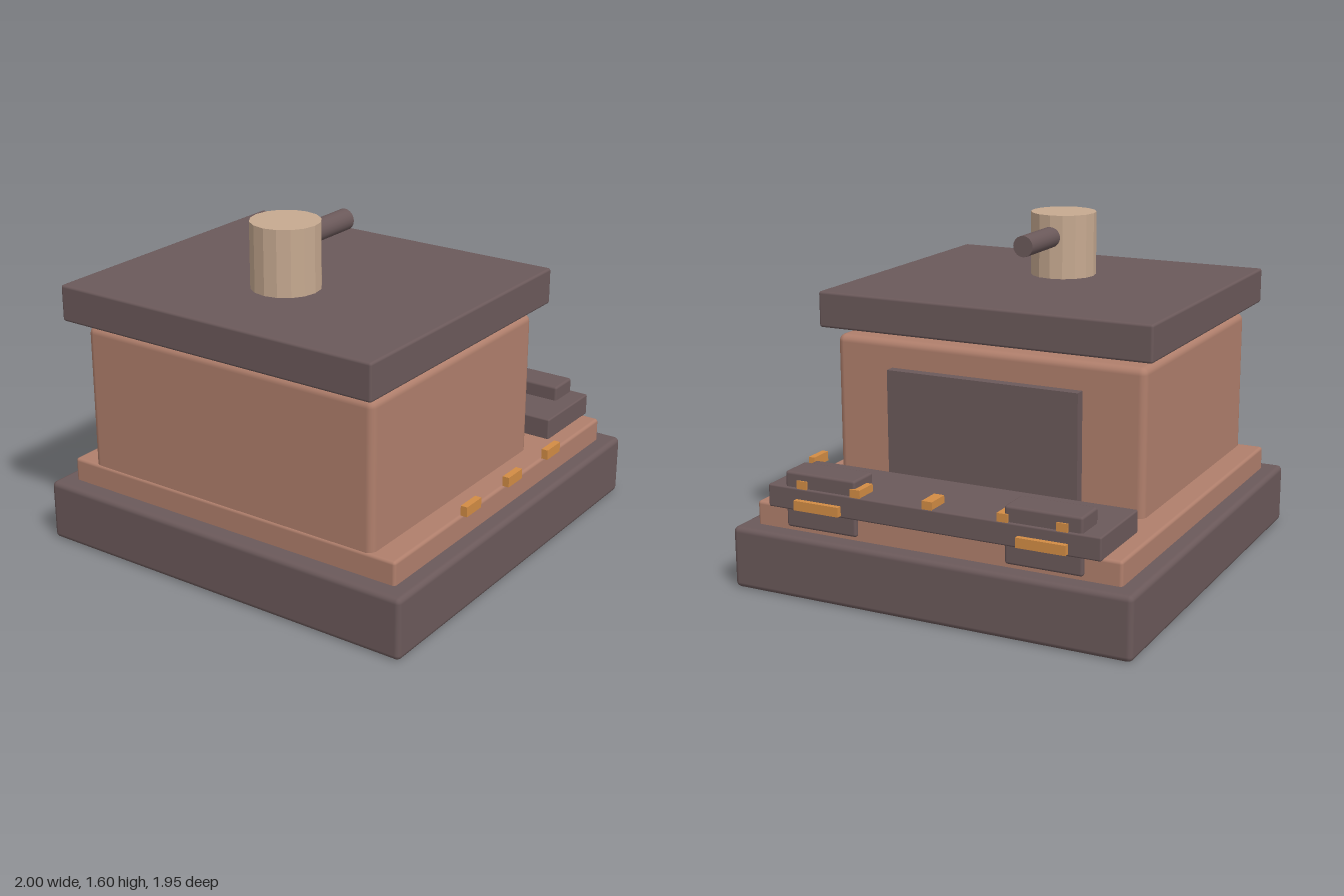
import * as THREE from 'three';
import { RoundedBoxGeometry } from 'three/addons/geometries/RoundedBoxGeometry.js';

const material = (name, color, extra = {}) => {
  const m = new THREE.MeshStandardMaterial({ color, ...extra });
  m.name = name;
  return m;
};

export function createModel() {
  const model = new THREE.Group();
  model.name = 'model';
  const dark = material('dark umber', 0x6b595a);
  const clay = material('terracotta', 0xb07f6c);
  const gold = material('amber', 0xd28c44);
  const cream = material('cream', 0xc6a990, { flatShading: true });

  const add = (name, geometry, mat, x, y, z) => {
    const mesh = new THREE.Mesh(geometry, mat);
    mesh.name = name;
    mesh.position.set(x, y, z);
    model.add(mesh);
    return mesh;
  };

  // Box given by its extents on each axis, with an optional rounded edge
  const box = (name, mat, [x0, x1], [y0, y1], [z0, z1], radius = 0) => {
    const size = [x1 - x0, y1 - y0, z1 - z0];
    const geometry = radius
      ? new RoundedBoxGeometry(...size, 2, radius)
      : new THREE.BoxGeometry(...size);
    return add(name, geometry, mat, (x0 + x1) / 2, (y0 + y1) / 2, (z0 + z1) / 2);
  };

  // Stepped base
  box('base', dark, [-1, 1], [0, 0.29], [-0.977, 0.977], 0.025);
  box('plinth', clay, [-0.912, 0.912], [0.25, 0.4], [-0.895, 0.895], 0.015);

  // House body, door panel and floating roof slab
  box('body', clay, [-0.905, 0.395], [0.34, 1.08], [-0.777, 0.777], 0.035);
  box('doorPanel', dark, [0.38, 0.445], [0.39, 0.95], [-0.48, 0.48]);
  box('roof', dark, [-1, 0.46], [1.12, 1.29], [-0.83, 0.83], 0.012);

  // Chimney with its side pipe
  add('chimney', new THREE.CylinderGeometry(0.159, 0.159, 0.31, 16), cream, -0.445, 1.44, 0);
  const pipe = add('chimneyPipe', new THREE.CylinderGeometry(0.05, 0.05, 0.34, 20), dark, -0.165, 1.49, 0);
  pipe.rotation.z = -Math.PI / 2;

  // Porch deck along the door side
  box('porch', dark, [0.545, 0.942], [0.395, 0.5], [-0.812, 0.812], 0.008);
  box('porchStud', gold, [0.83, 0.94], [0.49, 0.535], [-0.025, 0.025]);
  for (const s of [-1, 1]) {
    const span = (centre, width) => [s * centre - width / 2, s * centre + width / 2];
    box('porchBlock', dark, [0.775, 0.932], [0.31, 0.57], span(0.545, 0.36), 0.012);
    box('porchLight', gold, [0.93, 0.967], [0.405, 0.45], span(0.548, 0.23));
    for (const z of [0.36, 0.635])
      box('porchStud', gold, [0.83, 0.94], [0.49, 0.535], span(z, 0.052));
  }

  // Row of small lights along the front
  for (const x of [-0.36, 0, 0.36])
    box('frontLight', gold, [x - 0.06, x + 0.06], [0.418, 0.465], [0.908, 0.94]);

  return model;
}
